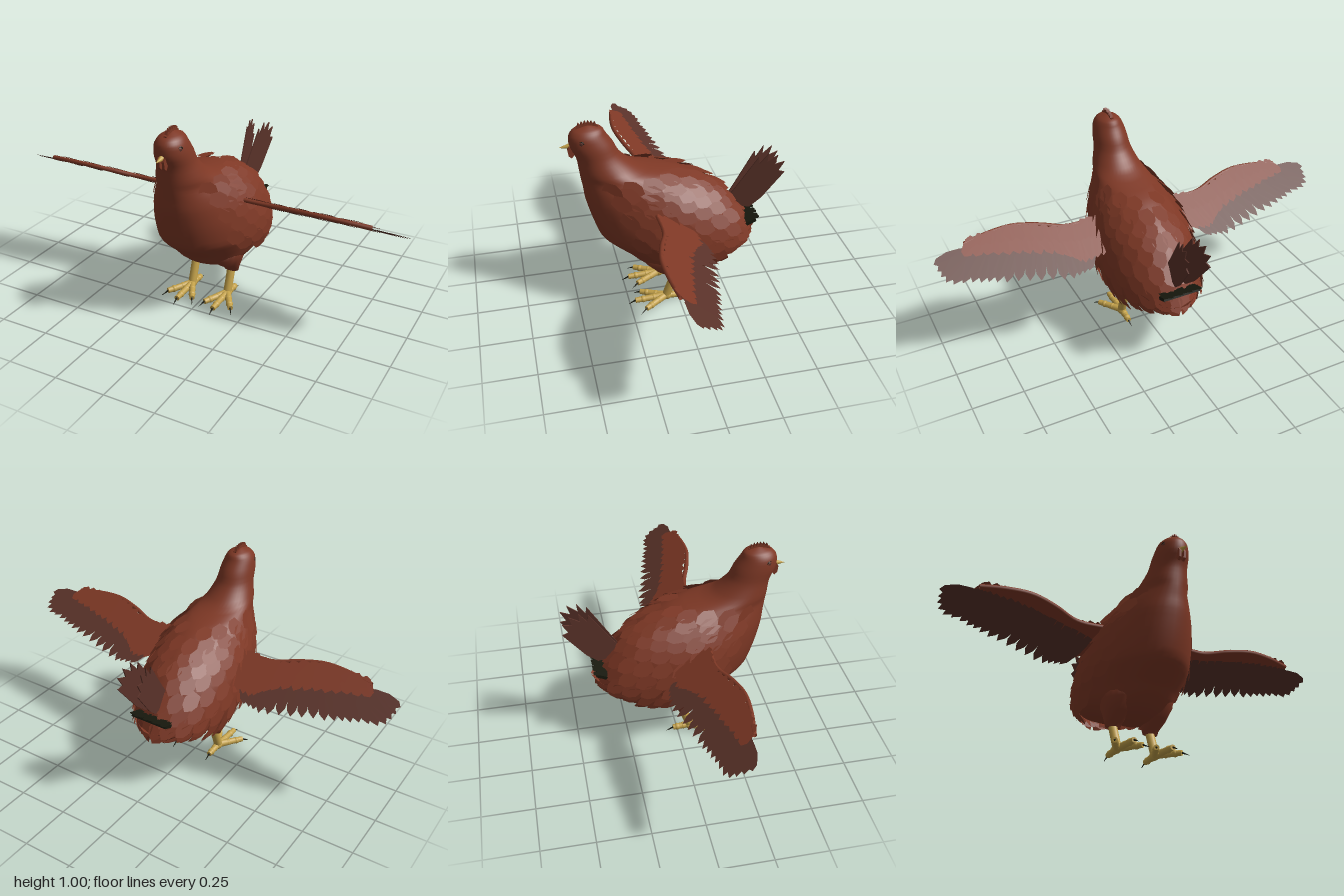
import * as THREE from 'three';
import { mergeGeometries } from 'three/addons/utils/BufferGeometryUtils.js';

const V = (x, y, z) => new THREE.Vector3(x, y, z);

// Horizontal body sections: height, front z, back z, half width
const ROWS = [
  [0.172, 0.05, 0.0, 0.02], [0.185, 0.1, -0.04, 0.09], [0.22, 0.17, -0.1, 0.15],
  [0.26, 0.22, -0.22, 0.19], [0.3, 0.26, -0.325, 0.215], [0.35, 0.32, -0.355, 0.23],
  [0.4, 0.37, -0.345, 0.24], [0.5, 0.405, -0.29, 0.23], [0.6, 0.43, -0.2, 0.2],
  [0.66, 0.437, -0.11, 0.17], [0.71, 0.445, 0.0, 0.135], [0.75, 0.45, 0.17, 0.115],
  [0.82, 0.46, 0.255, 0.09], [0.88, 0.487, 0.285, 0.082], [0.93, 0.488, 0.318, 0.07],
  [0.96, 0.465, 0.335, 0.05], [0.978, 0.41, 0.385, 0.01]];
const LAST = ROWS.length - 1;
const outline = new THREE.CatmullRomCurve3(ROWS.map(r => V(r[1], r[0], r[2])), false, 'catmullrom', 0.4);
const widths = new THREE.CatmullRomCurve3(ROWS.map(r => V(r[3], 0, 0)), false, 'catmullrom', 0.4);

// Point on the body skin: t is the row number, a the angle from the front
function skin(t, a) {
  const o = outline.getPoint(t / LAST), w = widths.getPoint(t / LAST).x;
  return V(w * Math.sin(a), o.y, (o.x + o.z) / 2 + (o.x - o.z) / 2 * Math.cos(a));
}

// Closed surface through rings of points, listed from bottom to top
function loft(rings) {
  const n = rings[0].length, pos = [], idx = [];
  rings.forEach(ring => ring.forEach(p => pos.push(p.x, p.y, p.z)));
  for (let r = 0; r < rings.length - 1; r++)
    for (let i = 0; i < n; i++) {
      const a = r * n + i, b = r * n + (i + 1) % n;
      idx.push(a, b, b + n, a, b + n, a + n);
    }
  const top = (rings.length - 1) * n;
  for (let i = 1; i < n - 1; i++) idx.push(0, i + 1, i, top, top + i, top + i + 1);
  const g = new THREE.BufferGeometry();
  g.setAttribute('position', new THREE.Float32BufferAttribute(pos, 3));
  g.setIndex(idx);
  g.computeVertexNormals();
  return g;
}

// Flat pointed feather from base to tip, facing the given normal
function feather(base, tip, normal, w, blunt = 0.85) {
  const y = tip.clone().sub(base), l = y.length();
  y.normalize();
  const x = y.clone().cross(normal).normalize(), z = x.clone().cross(y);
  const pts = [[-0.3, 0], [0.3, 0], [0.5, 0.45], [0.36, blunt], [0, 1], [-0.36, blunt], [-0.5, 0.45]];
  const g = new THREE.ShapeGeometry(new THREE.Shape(pts.map(p => new THREE.Vector2(p[0] * w, p[1] * l))));
  return g.applyMatrix4(new THREE.Matrix4().makeBasis(x, y, z).setPosition(base));
}

// Plate drawn in side view as [z, y] points, centred on x = 0
function sidePlate(pts, thick) {
  const s = new THREE.Shape(pts.map(p => new THREE.Vector2(p[0], p[1])));
  const g = new THREE.ExtrudeGeometry(s, { depth: thick, bevelEnabled: false });
  return g.translate(0, 0, -thick / 2).rotateY(-Math.PI / 2);
}

// Tapered rod between two points
function rod(a, b, r1, r2, sides = 10) {
  const d = b.clone().sub(a);
  const g = new THREE.CylinderGeometry(r2, r1, d.length(), sides);
  g.applyQuaternion(new THREE.Quaternion().setFromUnitVectors(V(0, 1, 0), d.normalize()));
  return g.translate((a.x + b.x) / 2, (a.y + b.y) / 2, (a.z + b.z) / 2);
}

export function createModel() {
  const mat = (name, color) => new THREE.MeshStandardMaterial({ name, color, side: THREE.DoubleSide });
  const brown = mat('russet plumage', 0x7e3825);
  const flight = mat('dark flight feathers', 0x5a3229);
  const yellow = mat('yellow legs', 0xc4a24a);
  const dark = mat('black feathers', 0x17180d);

  const model = new THREE.Group();
  model.name = 'hen';
  const add = (name, geo, material, parent = model) => {
    const m = new THREE.Mesh(geo, material);
    m.name = name;
    parent.add(m);
    return m;
  };

  // Body, neck and head in one smooth skin
  const rings = [];
  for (let i = 0; i <= LAST * 3; i++)
    rings.push(Array.from({ length: 40 }, (_, k) => skin(i / 3, k / 40 * Math.PI * 2)));
  add('body', loft(rings), brown);

  // Overlapping feathers on flanks and back
  const plumes = [];
  for (let r = 0; r < 11; r++) {
    const t = 4.1 + r * 0.6, start = r < 3 ? 1.5 - r * 0.2 : 0.95, n = r > 8 ? 5 : 8;
    for (let i = 0; i < n; i++) for (const s of [1, -1]) {
      const f = (i + (r % 2) * 0.5) / n, a = s * (start + (Math.PI - start) * f);
      const p = skin(t, a), e = 0.02;
      const across = skin(t, a + e).sub(skin(t, a - e)), up = skin(t + e, a).sub(skin(t - e, a));
      const nrm = up.cross(across).normalize();
      if (nrm.dot(V(p.x, 0, p.z - 0.05)) < 0) nrm.negate();
      const dir = V(0, -0.45, -1);
      dir.addScaledVector(nrm, -dir.dot(nrm)).normalize();
      const tip = p.clone().addScaledVector(dir, 0.105).addScaledVector(nrm, 0.01 + 0.004 * (i % 3));
      plumes.push(feather(p.clone().addScaledVector(nrm, 0.002), tip, nrm, 0.075, 0.78));
    }
  }
  add('bodyFeathers', mergeGeometries(plumes), brown);

  // Comb, wattles and beak
  const comb = [[0.45, 0.95], [0.355, 0.95], [0.352, 0.975]];
  for (let i = 0; i <= 12; i++) comb.push([0.358 + i * 0.0075, (i % 2 ? 1.0 : 0.986) - 0.00035 * (i - 6) ** 2]);
  comb.push([0.457, 0.97]);
  add('comb', sidePlate(comb, 0.014), brown);
  for (const s of [1, -1])
    add('wattle', sidePlate([[0.465, 0.88], [0.465, 0.845], [0.48, 0.825], [0.494, 0.838], [0.498, 0.87], [0.49, 0.885]], 0.012), brown)
      .position.x = s * 0.012;
  add('beak', rod(V(0, 0.883, 0.475), V(0, 0.877, 0.532), 0.016, 0.001), yellow);

  // Tail: two upright fans over a black rump plate
  const fan = [[-0.26, 0.5], [-0.305, 0.565], [-0.408, 0.725], [-0.414, 0.69], [-0.455, 0.745], [-0.45, 0.7],
    [-0.5, 0.735], [-0.485, 0.685], [-0.533, 0.7], [-0.505, 0.65], [-0.535, 0.642], [-0.43, 0.5], [-0.375, 0.45], [-0.3, 0.455]];
  for (const s of [1, -1]) {
    const g = sidePlate(fan, 0.006), p = g.attributes.position;
    for (let i = 0; i < p.count; i++) p.setX(i, p.getX(i) + s * (0.024 + (-p.getZ(i) - 0.35) * 0.16));
    g.computeVertexNormals();
    add('tailFan', g, flight);
  }
  const rump = [];
  for (let i = 0; i < 8; i++) {
    const x = (i - 3.5) * 0.023, k = (i % 2) * 0.004;
    rump.push(feather(V(x * 0.85, 0.39 + k, -0.29), V(x * 1.1, 0.422 + k, -0.408), V(0, 1, 0.3), 0.035, 0.97));
  }
  rump.push(new THREE.BoxGeometry(0.19, 0.016, 0.08).rotateX(0.42).toNonIndexed().translate(0, 0.393, -0.355));
  add('rumpFeathers', mergeGeometries(rump.map(g => g.index ? g.toNonIndexed() : g)), dark);

  // Wings lie in one plane sloping down to the back
  const line = pts => new THREE.CatmullRomCurve3(pts.map(p => V(p[0], 0.506 + 0.57 * p[1], p[1])));
  const lead = [[0.17, 0.13], [0.35, 0.125], [0.48, 0.165], [0.6, 0.19], [0.72, 0.185], [0.84, 0.165]];
  const layers = [
    ['flightFeathers', flight, 20, 0.06, 0, line([[0.25, 0.07], [0.45, 0.11], [0.62, 0.14], [0.78, 0.15], [0.86, 0.14]]),
      line([[0.33, -0.09], [0.42, -0.105], [0.58, -0.07], [0.74, -0.035], [0.85, -0.005], [0.97, 0.025], [1.0, 0.115]])],
    ['wingCoverts', brown, 17, 0.065, 0.012, line([[0.19, 0.1], [0.38, 0.12], [0.6, 0.17], [0.79, 0.17]]),
      line([[0.24, -0.05], [0.34, -0.06], [0.4, -0.015], [0.55, 0.035], [0.7, 0.07], [0.86, 0.105]])],
    ['smallCoverts', brown, 16, 0.06, 0.019, line([[0.19, 0.13], [0.38, 0.125], [0.6, 0.185], [0.79, 0.175]]),
      line([[0.24, 0.03], [0.38, 0.04], [0.58, 0.1], [0.83, 0.135]])]];
  for (const s of [1, -1]) {
    const wing = new THREE.Group();
    wing.name = s > 0 ? 'leftWing' : 'rightWing';
    model.add(wing);
    for (const [name, m, n, w, lift, from, to] of layers) {
      const list = [];
      for (let i = 0; i < n; i++) {
        const a = from.getPoint(i / (n - 1)), b = to.getPoint(i / (n - 1)), h = lift + (i % 3) * 0.002;
        const flip = v => V(v.x * s, v.y + h, v.z);
        list.push(feather(flip(a), flip(b), V(0, 1, -0.57).normalize(), w));
      }
      add(name, mergeGeometries(list), m, wing);
    }
    // Arm along the leading edge
    const arm = new THREE.CatmullRomCurve3(lead.map(p => V(p[0] * s, 0.513 + 0.57 * p[1], p[1])));
    add('wingArm', new THREE.TubeGeometry(arm, 30, 0.011, 8), brown, wing);
  }

  for (const s of [1, -1]) {
    const side = s > 0 ? 'left' : 'right';
    // Eye
    const eye = new THREE.Group();
    eye.name = side + 'Eye';
    eye.position.set(s * 0.062, 0.915, 0.438);
    eye.rotation.y = s * 1.1;
    model.add(eye);
    add('eyeRing', new THREE.TorusGeometry(0.013, 0.003, 8, 20), dark, eye);
    add('eyeball', new THREE.SphereGeometry(0.012, 16, 10).scale(1, 1, 0.5), flight, eye);

    // Thigh tapering into the leg
    const thigh = [[0.14, 0.022, 0.022, 0.038], [0.16, 0.024, 0.034, 0.042], [0.2, 0.05, 0.07, 0.06],
      [0.25, 0.06, 0.11, 0.078], [0.31, 0.05, 0.13, 0.09], [0.36, 0.04, 0.06, 0.05]];
    add(side + 'Thigh', loft(thigh.map(([y, z, rz, rx]) => Array.from({ length: 20 }, (_, k) => {
      const a = k / 20 * Math.PI * 2;
      return V(s * 0.1 + rx * Math.sin(a), y, z + rz * Math.cos(a));
    }))), brown);

    // Leg, toes and claws
    const foot = new THREE.Group();
    foot.name = side + 'Leg';
    model.add(foot);
    const ankle = V(s * 0.1, 0.026, 0.065);
    add('shank', rod(V(s * 0.1, 0.17, 0.013), ankle, 0.021, 0.021, 14), yellow, foot);
    add('footJoint', new THREE.SphereGeometry(0.023, 14, 10).translate(s * 0.1, 0.026, 0.06), yellow, foot);
    for (const [x, z] of [[0.1, 0.222], [0.035, 0.185], [0.175, 0.18], [0.1, -0.022]]) {
      const tip = V(s * x, 0.018, z), d = tip.clone().sub(ankle).setY(0).normalize();
      add('toe', rod(ankle, tip, 0.018, 0.0135), yellow, foot);
      for (const k of [0.4, 0.75]) {
        const knuckle = new THREE.SphereGeometry(0.0175, 10, 8);
        const p = ankle.clone().lerp(tip, k);
        add('knuckle', knuckle.translate(p.x, p.y, p.z), yellow, foot);
      }
      add('claw', rod(tip, tip.clone().addScaledVector(d, 0.035).setY(0.001), 0.005, 0.0008, 6), dark, foot);
    }
  }
  return model;
}
